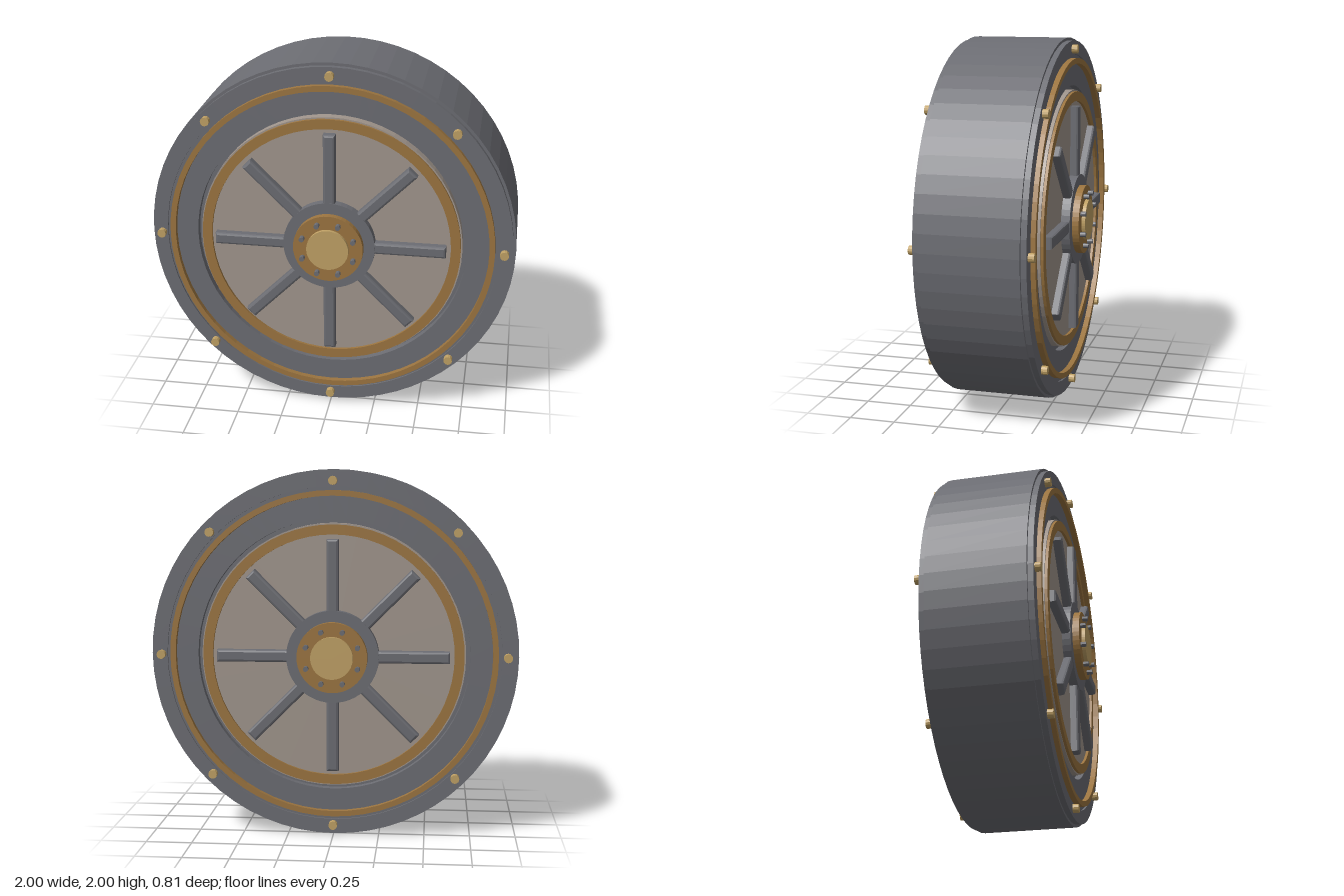
import * as THREE from 'three';

const mat = (name, color) => {
  const m = new THREE.MeshStandardMaterial({ color });
  m.name = name;
  return m;
};

export function createModel() {
  const steel = mat('dark steel', 0x6c6d73);
  const plate = mat('pale plate', 0xa1968d);
  const bronze = mat('bronze', 0x9c7540);
  const brass = mat('brass', 0xc0a165);

  const model = new THREE.Group();
  model.name = 'wheel';

  // Faceted shading through per-face normals
  const flat = (geo) => {
    const g = geo.index ? geo.toNonIndexed() : geo;
    g.computeVertexNormals();
    return g;
  };
  const add = (parent, name, geo, material) => {
    const m = new THREE.Mesh(flat(geo), material);
    m.name = name;
    parent.add(m);
    return m;
  };
  // Turned part around the z axis; profile is [radius, z] from back to front
  const turned = (profile, sides = 64) =>
    new THREE.LatheGeometry(profile.map(([r, z]) => new THREE.Vector2(r, z)), sides).rotateX(Math.PI / 2);
  const ring = (inner, outer, z0, z1) => turned([[outer, z0], [outer, z1], [inner, z1], [inner, z0]]);
  const disc = (r, z0, z1, sides = 64) =>
    new THREE.CylinderGeometry(r, r, z1 - z0, sides).rotateX(Math.PI / 2).translate(0, 0, (z0 + z1) / 2);

  // Rim body: tread, stepped shoulders, sidewalls and recess
  const half = [[1, 0.26], [0.985, 0.26], [0.985, 0.29], [0.91, 0.29], [0.91, 0.28],
    [0.74, 0.28], [0.74, 0.24], [0.7, 0.24]];
  const mirrored = half.map(([r, z]) => [r, -z]).reverse();
  add(model, 'rimBody', turned([...mirrored, ...half]), steel);

  // Spoke bar with bevelled edges, lying along +x
  const spokeGeometry = () => {
    const length = 0.43, width = 0.065, b = 0.012;
    const s = new THREE.Shape();
    const x0 = 0.2 + b, x1 = 0.2 + length - b, y = width / 2 - b;
    s.moveTo(x0, -y);
    s.lineTo(x1, -y);
    s.lineTo(x1, y);
    s.lineTo(x0, y);
    return new THREE.ExtrudeGeometry(s, {
      depth: 0.043, bevelEnabled: true, bevelSize: b, bevelThickness: b, bevelSegments: 2,
    }).translate(0, 0, 0.28);
  };

  // One face of the wheel, used on both sides
  const buildSide = (name) => {
    const side = new THREE.Group();
    side.name = name;
    add(side, 'facePlate', disc(0.716, 0.23, 0.29), plate);
    add(side, 'innerRing', ring(0.655, 0.708, 0.28, 0.305), bronze);
    add(side, 'outerRing', ring(0.86, 0.89, 0.27, 0.31), bronze);
    add(side, 'hubDisc', disc(0.25, 0.28, 0.338, 48), steel);
    add(side, 'hubFlange', disc(0.19, 0.33, 0.375, 48), bronze);
    add(side, 'hubCap', disc(0.114, 0.37, 0.395, 48), brass);
    for (let i = 0; i < 8; i++) {
      const a = (i * Math.PI) / 4, h = a + Math.PI / 8;
      add(side, 'spoke', spokeGeometry(), steel).rotation.z = a;
      add(side, 'rimBolt', disc(0.024, 0.27, 0.322, 12), brass)
        .position.set(0.94 * Math.cos(a), 0.94 * Math.sin(a), 0);
      add(side, 'hubBolt', disc(0.014, 0.37, 0.405, 10), steel)
        .position.set(0.15 * Math.cos(h), 0.15 * Math.sin(h), 0);
    }
    model.add(side);
    return side;
  };
  buildSide('frontFace');
  buildSide('backFace').rotation.y = Math.PI;

  // Stand the wheel on the ground
  model.children.forEach((c) => { c.position.y = 1; });
  return model;
}
